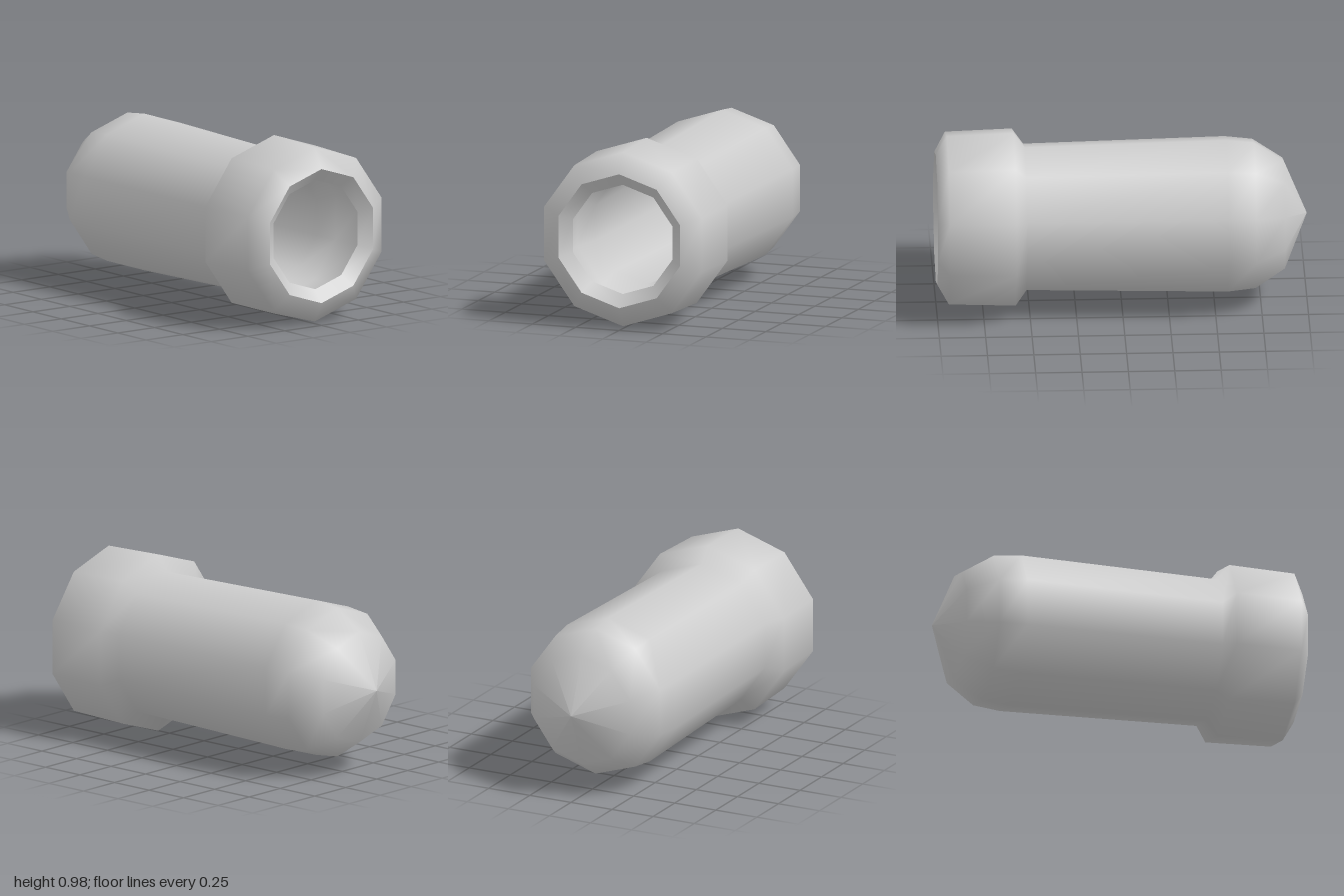
import * as THREE from 'three';

export function createModel() {
  const group = new THREE.Group();
  const grey = new THREE.MeshStandardMaterial({ color: 0xcccccc });
  grey.name = 'light grey';

  // Ten-sided turned shell lying along x; profile points are [x, radius]
  const turned = (name, profile) => {
    const points = profile.map(([x, r]) => new THREE.Vector2(r, x));
    const geometry = new THREE.LatheGeometry(points, 10, Math.PI / 2);
    geometry.rotateZ(-Math.PI / 2);
    const mesh = new THREE.Mesh(geometry, grey);
    mesh.name = name;
    mesh.position.y = 0.493;
    group.add(mesh);
  };

  // Domed tip, tapering barrel and raised collar
  turned('outerShell', [
    [-1, 0], [-0.875, 0.307], [-0.715, 0.413], [-0.565, 0.43],
    [0.52, 0.405], [0.58, 0.49], [0.94, 0.478], [1, 0.368],
  ]);

  // Funnel-shaped lip at the open end
  turned('lip', [[1, 0.368], [0.945, 0.3]]);

  // Hollow inside, following the outer shell
  turned('innerShell', [
    [0.945, 0.3], [0.88, 0.39], [0.63, 0.4], [0.57, 0.315],
    [-0.55, 0.34], [-0.68, 0.325], [-0.81, 0.24], [-0.9, 0],
  ]);

  return group;
}
